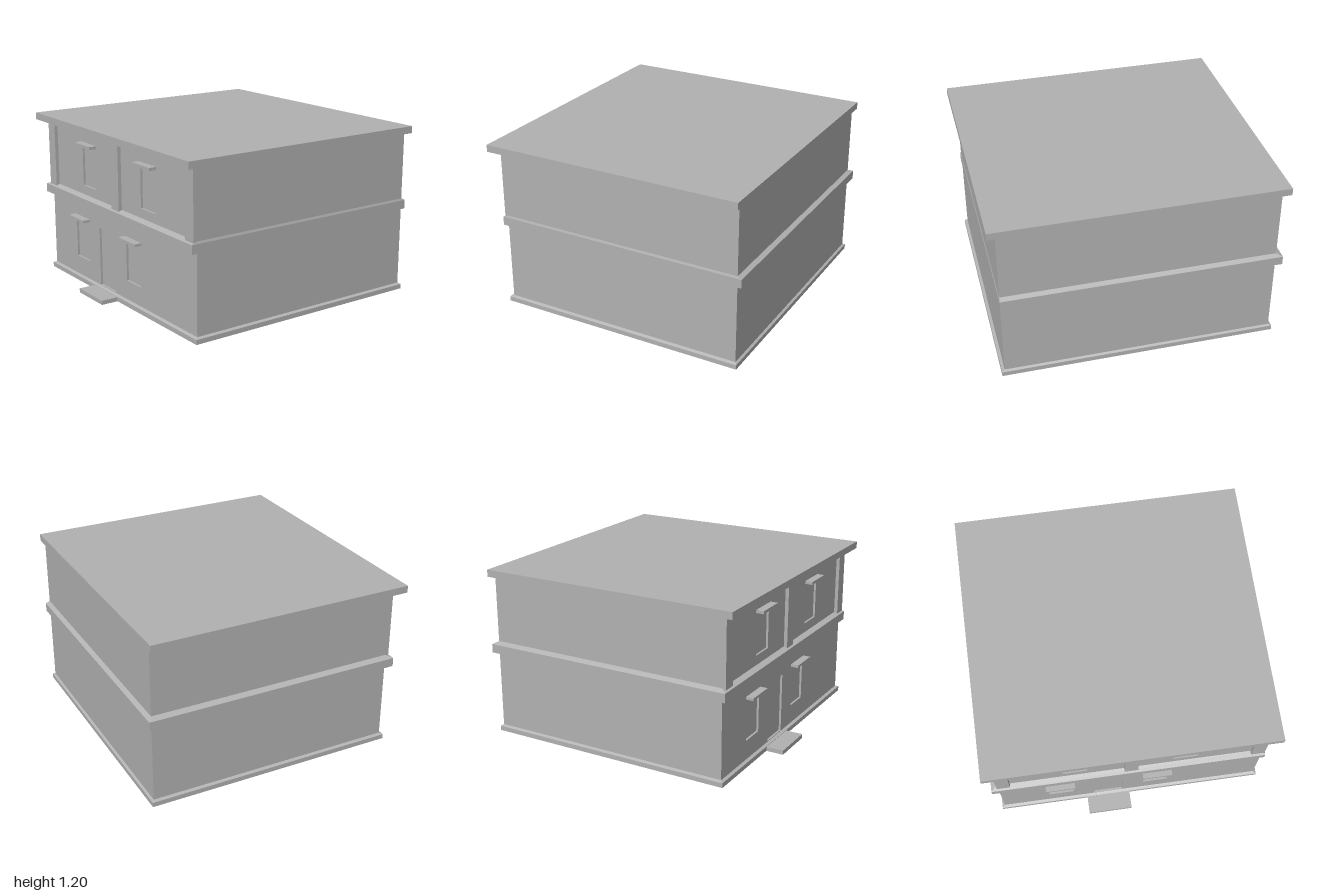
import * as THREE from 'three';

const plaster = new THREE.MeshStandardMaterial({ color: 0xb2b2b2, side: THREE.DoubleSide });
plaster.name = 'plaster grey';

// Footprints: [x min, x max, z min, z max]
const WALL = [-0.94, 0.945, -0.94, 0.825];
const PLINTH = [-0.96, 0.965, -0.955, 0.845];
const BAND = [-0.98, 0.95, -0.97, 0.865];
const FRONT = WALL[3];
const RECESS = 0.015;

export function createModel() {
  const model = new THREE.Group();
  model.name = 'house';

  const add = (name, geometry) => {
    const mesh = new THREE.Mesh(geometry, plaster);
    mesh.name = name;
    model.add(mesh);
    return mesh;
  };

  const box = (name, x0, x1, y0, y1, z0, z1) => {
    const mesh = add(name, new THREE.BoxGeometry(x1 - x0, y1 - y0, z1 - z0));
    mesh.position.set((x0 + x1) / 2, (y0 + y1) / 2, (z0 + z1) / 2);
  };

  // Hollow shell through rectangular sections [footprint, y], bottom to top
  const shell = (name, sections, sides = [0, 1, 2, 3]) => {
    const points = [];
    const ring = ([[x0, x1, z0, z1], y]) => [[x0, y, z1], [x1, y, z1], [x1, y, z0], [x0, y, z0]];
    for (let i = 0; i < sections.length - 1; i++) {
      const low = ring(sections[i]), high = ring(sections[i + 1]);
      for (const k of sides) {
        const n = (k + 1) % 4;
        points.push(...low[k], ...low[n], ...high[n], ...low[k], ...high[n], ...high[k]);
      }
    }
    const geometry = new THREE.BufferGeometry();
    geometry.setAttribute('position', new THREE.Float32BufferAttribute(points, 3));
    geometry.computeVertexNormals();
    add(name, geometry);
  };

  const trace = (path, x0, x1, y0, y1) =>
    path.moveTo(x0, y0).lineTo(x1, y0).lineTo(x1, y1).lineTo(x0, y1).closePath();

  // One storey: three plain walls plus a front wall with recessed openings
  const storey = (name, y0, y1, openings) => {
    shell(name + 'Walls', [[WALL, y0], [WALL, y1]], [1, 2, 3]);
    const shape = new THREE.Shape();
    trace(shape, WALL[0], WALL[1], y0, y1);
    for (const [part, a, b, c, d] of openings) {
      const hole = new THREE.Path();
      trace(hole, a, b, c, d);
      shape.holes.push(hole);
      const panel = add(part, new THREE.PlaneGeometry(b - a, d - c));
      panel.position.set((a + b) / 2, (c + d) / 2, FRONT - RECESS);
      // Reveals: four narrow strips around the opening
      for (const x of [a, b]) {
        const jamb = add(part + 'Jamb', new THREE.PlaneGeometry(RECESS, d - c));
        jamb.position.set(x, (c + d) / 2, FRONT - RECESS / 2);
        jamb.rotation.y = x === a ? Math.PI / 2 : -Math.PI / 2;
      }
      for (const y of [c, d]) {
        const sill = add(part + 'Reveal', new THREE.PlaneGeometry(b - a, RECESS));
        sill.position.set((a + b) / 2, y, FRONT - RECESS / 2);
        sill.rotation.x = y === c ? -Math.PI / 2 : Math.PI / 2;
      }
    }
    add(name + 'FrontWall', new THREE.ShapeGeometry(shape)).position.z = FRONT;
  };

  // Plinth and string course, each with a sloped top
  shell('plinth', [[PLINTH, 0], [PLINTH, 0.033], [WALL, 0.042]]);
  shell('stringCourse', [[WALL, 0.595], [BAND, 0.595], [BAND, 0.657], [WALL, 0.673]]);

  storey('lower', 0.042, 0.595, [
    ['lowerWindow', -0.595, -0.415, 0.18, 0.468],
    ['lowerWindow', 0.1, 0.28, 0.18, 0.468],
    ['door', -0.263, -0.053, 0.047, 0.468],
  ]);
  storey('upper', 0.673, 1.15, [
    ['upperWindow', -0.473, -0.3, 0.74, 1.033],
    ['upperWindow', 0.3, 0.477, 0.74, 1.033],
  ]);

  // Hoods over the windows
  for (const [x0, y0, y1] of [[-0.61, 0.48, 0.498], [0.087, 0.48, 0.498], [-0.488, 1.037, 1.058], [0.283, 1.037, 1.058]]) {
    box('windowHood', x0, x0 + 0.21, y0, y1, FRONT, 0.88);
  }

  // Upper pilasters
  for (const [x0, x1] of [[-0.94, -0.847], [-0.045, 0.052], [0.85, 0.945]]) {
    box('pilaster', x0, x1, 0.66, 1.15, FRONT, 0.85);
  }

  box('doorStep', -0.32, -0.003, 0, 0.03, 0.845, 0.97);
  box('roofSlab', -1, 1, 1.15, 1.2, -0.957, 0.92);
  return model;
}
